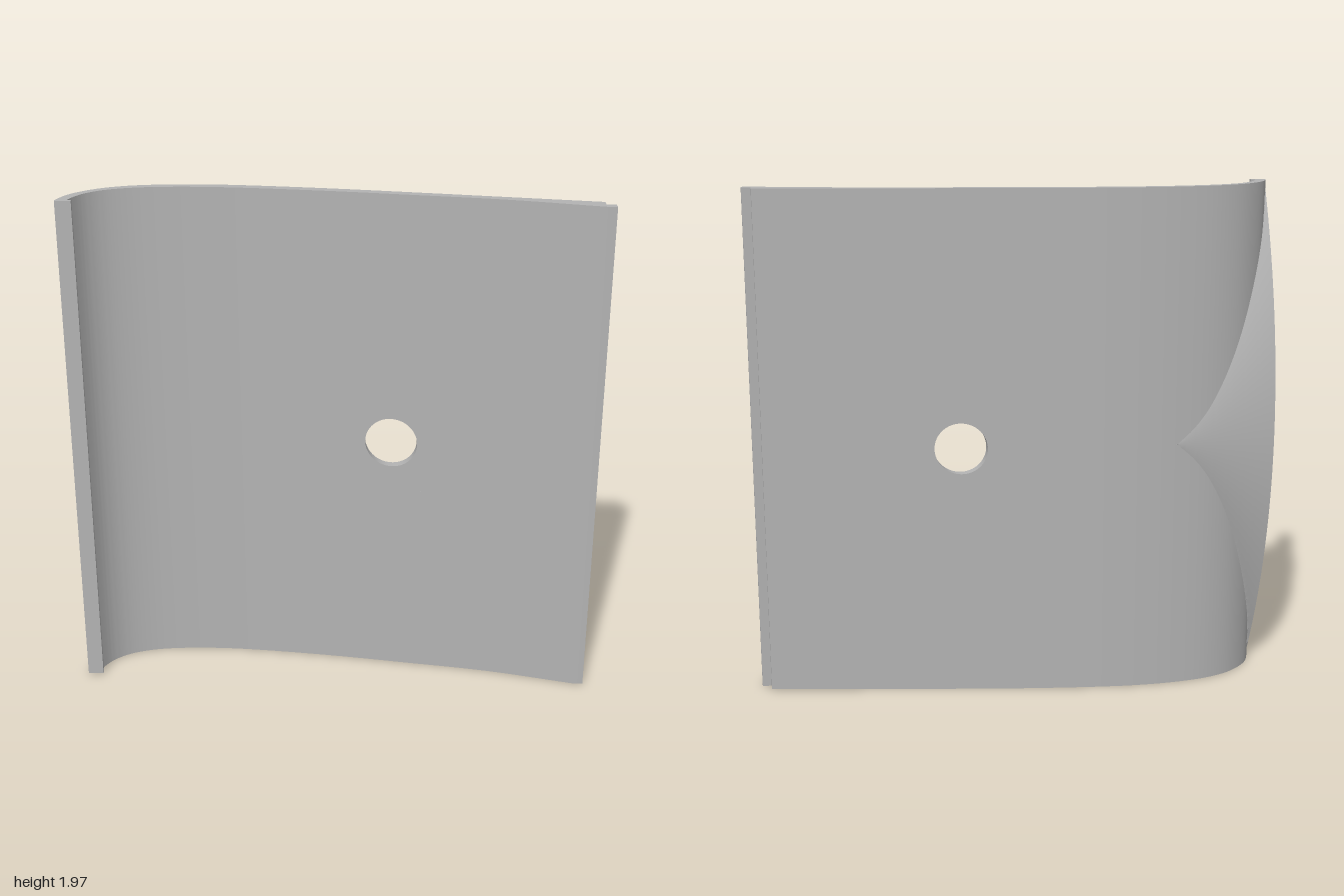
import * as THREE from 'three';
import { toCreasedNormals } from 'three/addons/utils/BufferGeometryUtils.js';

const H = 1.97, MID = H / 2;
const HOLE = { x: 0.22, r: 0.1, half: 0.2 };

// Smooth cross-section curves of the panel as [x, z] points
const smooth = (pts, n) =>
  new THREE.CatmullRomCurve3(pts.map(([x, z]) => new THREE.Vector3(x, 0, z)))
    .getPoints(n).map((p) => [p.x, p.z]);

const BACK = smooth([[-1, 0.065], [-0.97, 0], [-0.92, -0.055], [-0.85, -0.102], [-0.75, -0.137],
  [-0.6, -0.155], [-0.45, -0.154], [-0.3, -0.14], [0, -0.097], [0.3, -0.043], [0.6, 0.014], [0.965, 0.083]], 88);
const FRONT = smooth([[-0.957, 0.065], [-0.945, 0.035], [-0.91, -0.02], [-0.85, -0.068], [-0.75, -0.104],
  [-0.6, -0.12], [-0.45, -0.117], [-0.3, -0.103], [0, -0.06], [0.3, -0.006], [0.62, 0.055], [0.97, 0.15]], 88);

// Linear interpolation along a curve: z for a given x
function zAt(curve, x) {
  for (let i = 1; i < curve.length; i++) {
    const [x0, z0] = curve[i - 1], [x1, z1] = curve[i];
    if (x <= x1) return z0 + (z1 - z0) * Math.max(0, (x - x0) / (x1 - x0));
  }
  return curve[curve.length - 1][1];
}

// x of the back curve for a given z on its steep left end
function backX(z) {
  const i = Math.max(1, BACK.findIndex((p) => p[1] <= z));
  const [x0, z0] = BACK[i - 1], [x1, z1] = BACK[i];
  return x0 + (x1 - x0) * Math.max(0, (z - z0) / (z1 - z0));
}

// Surface from a rule; it faces along du x dv
function surface(nu, nv, rule) {
  const pos = [], index = [];
  for (let u = 0; u <= nu; u++) for (let v = 0; v <= nv; v++) pos.push(...rule(u / nu, v / nv, v));
  for (let u = 0; u < nu; u++) for (let v = 0; v < nv; v++) {
    const a = u * (nv + 1) + v, b = a + 1, c = a + nv + 1, d = c + 1;
    index.push(a, c, b, b, c, d);
  }
  const g = new THREE.BufferGeometry();
  g.setAttribute('position', new THREE.Float32BufferAttribute(pos, 3));
  g.setIndex(index);
  return toCreasedNormals(g, 0.5);
}

// Upright extrusion of an [x, z] outline
function upright(outline, y0, y1) {
  const shape = new THREE.Shape(outline.map(([x, z]) => new THREE.Vector2(x, -z)));
  const g = new THREE.ExtrudeGeometry(shape, { depth: y1 - y0, bevelEnabled: false });
  g.rotateX(-Math.PI / 2).translate(0, y0, 0);
  return toCreasedNormals(g, 0.5);
}

// Part of a curve between two x values, with exact ends
function slice(curve, x0, x1) {
  const inner = curve.filter(([x]) => x > x0 + 1e-4 && x < x1 - 1e-4);
  return [[x0, zAt(curve, x0)], ...inner, [x1, zAt(curve, x1)]];
}

export function createModel() {
  const group = new THREE.Group();
  const grey = new THREE.MeshStandardMaterial({ color: 0xb3b3b3 });
  grey.name = 'grey';
  const add = (name, geometry) => {
    const mesh = new THREE.Mesh(geometry, grey);
    mesh.name = name;
    group.add(mesh);
  };
  const xa = HOLE.x - HOLE.half, xb = HOLE.x + HOLE.half;

  // Curved side of the panel with its hooked edge
  add('curvedPanel', upright([
    ...slice(BACK, -1, xa), ...slice(FRONT, -0.957, xa).reverse(),
    [-0.94, 0.065], [-0.94, 0.08], [-1, 0.08],
  ], 0, H));

  // Straight side with its stepped lip
  add('straightPanel', upright([
    ...slice(BACK, xb, 0.965), [0.965, 0.12], [1, 0.12], [1, 0.15],
    ...slice(FRONT, xb, 0.97).reverse(),
  ], 0, H));

  // Panel below and above the hole
  const middle = [...slice(BACK, xa, xb), ...slice(FRONT, xa, xb).reverse()];
  add('panelBelowHole', upright(middle, 0, MID - HOLE.half));
  add('panelAboveHole', upright(middle, MID + HOLE.half, H));

  // Square piece around the round hole: front face, hole wall, back face
  const steps = 4;
  add('holeSurround', surface(64, steps * 2 + 1, (u, _, i) => {
    const a = u * Math.PI * 2, c = Math.cos(a), s = Math.sin(a);
    const front = i <= steps;
    const t = front ? 1 - i / steps : (i - steps - 1) / steps;
    const edge = HOLE.half / Math.max(Math.abs(c), Math.abs(s));
    const r = HOLE.r + (edge - HOLE.r) * t;
    const x = HOLE.x + c * r;
    return [x, MID + s * r, zAt(front ? FRONT : BACK, x)];
  }));

  // Cone-like swelling on the back, from a point out to an arched end
  const tipX = -0.6, tipZ = -0.155, rise = 0.228, base = 0.08;
  add('backGusset', surface(120, 40, (u, w) => {
    const x = -1 + w * (tipX + 1), v = u * 2 - 1;
    const s = Math.max((tipX - x) / (tipX + 1), 1e-3);
    const cone = tipZ + s * (base - rise - tipZ) + rise * v * v / s;
    return [x, u * H, Math.min(cone, zAt(BACK, x) + 0.01)];
  }));

  // Flat arched end of the swelling with a round opening
  const arch = [];
  for (let i = 0; i <= 120; i++) {
    const v = i / 60 - 1;
    arch.push(new THREE.Vector2(base - rise * (1 - v * v), MID + v * MID));
  }
  const endShape = new THREE.Shape(arch);
  const endZ = -0.004, endR = 0.07;
  endShape.holes.push(new THREE.Path().absarc(endZ, MID, endR, 0, Math.PI * 2, true));
  add('gussetEnd', new THREE.ShapeGeometry(endShape, 24).rotateY(-Math.PI / 2).translate(-1, 0, 0));

  // Wall of that opening, reaching in to the curved panel
  add('gussetHoleWall', surface(48, 1, (u, w) => {
    const a = u * Math.PI * 2, z = endZ + endR * Math.cos(a);
    return [-1 + w * (backX(z) + 1.01), MID + endR * Math.sin(a), z];
  }));

  return group;
}
